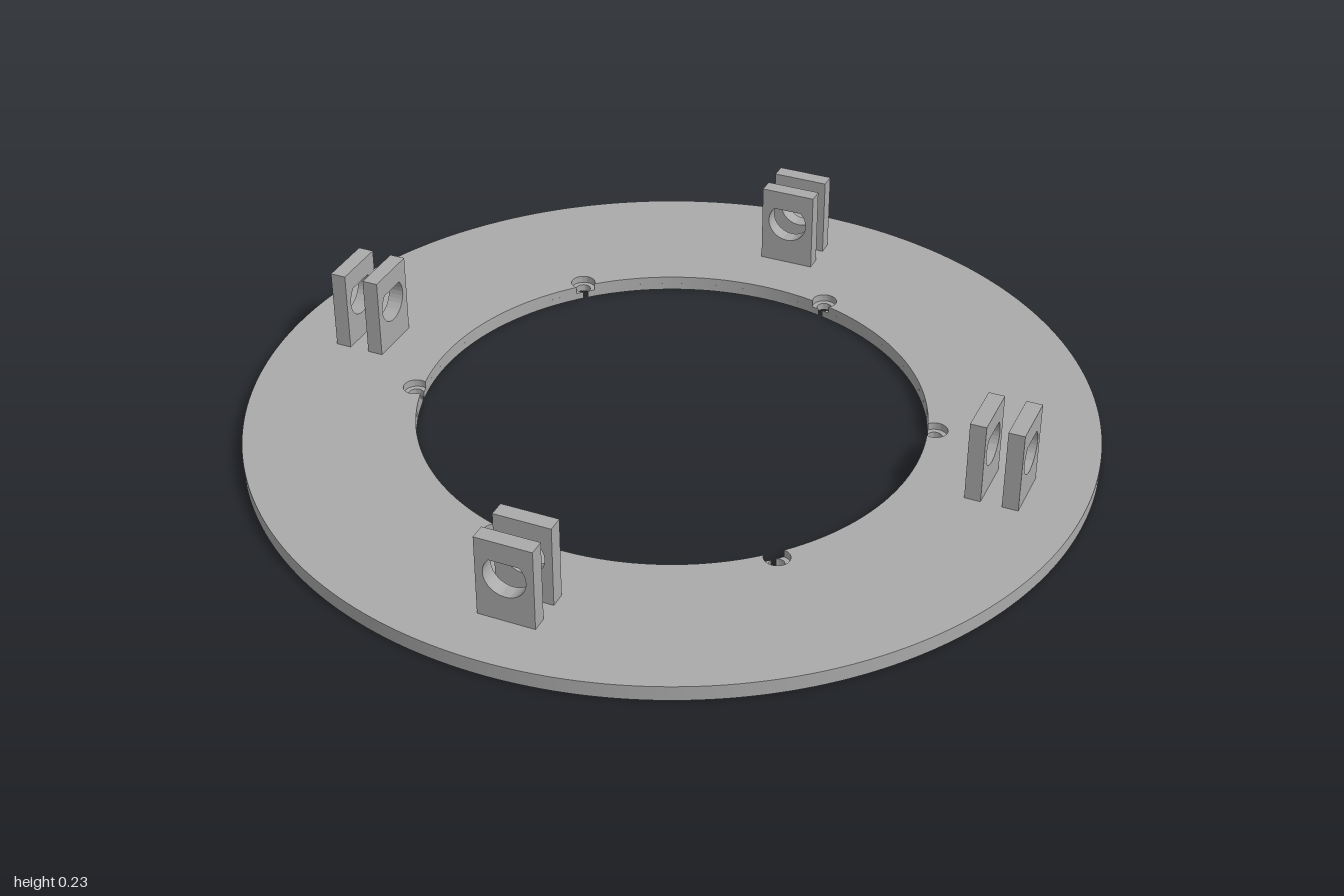
import * as THREE from 'three';
import { toCreasedNormals } from 'three/addons/utils/BufferGeometryUtils.js';

const OUTER = 1, INNER = 0.6, THICK = 0.036;
const HOLE_RADIUS = 0.617; // bolt circle, right at the inner rim

// Inner outline of the ring, with six round holes that break into its edge
function scallopedInner(r) {
  const d = HOLE_RADIUS, pts = [];
  const delta = Math.acos((INNER * INNER + d * d - r * r) / (2 * INNER * d));
  const phi = Math.atan2(INNER * Math.sin(delta), INNER * Math.cos(delta) - d);
  for (let k = 0; k < 6; k++) {
    const a = Math.PI / 6 + k * Math.PI / 3;
    const cx = d * Math.cos(a), cy = d * Math.sin(a);
    for (let i = 0; i <= 24; i++) {
      const t = a - phi + (2 * phi * i) / 24;
      pts.push(new THREE.Vector2(cx + r * Math.cos(t), cy + r * Math.sin(t)));
    }
    const span = Math.PI / 3 - 2 * delta;
    for (let i = 1; i < 24; i++) {
      const t = a + delta + (span * i) / 24;
      pts.push(new THREE.Vector2(INNER * Math.cos(t), INNER * Math.sin(t)));
    }
  }
  return new THREE.Path(pts);
}

// One horizontal layer of the ring
function ringLayer(holeRadius, y, height) {
  const shape = new THREE.Shape().absarc(0, 0, OUTER, 0, Math.PI * 2, false);
  shape.holes.push(scallopedInner(holeRadius));
  const geo = new THREE.ExtrudeGeometry(shape, { depth: height, bevelEnabled: false, curveSegments: 160 });
  geo.rotateX(-Math.PI / 2).translate(0, y, 0);
  return toCreasedNormals(geo, 0.5);
}

// Upright lug plate with a teardrop hole
function lugGeometry() {
  const w = 0.068, top = 0.235, cy = 0.15, r = 0.05, t = 0.038;
  const shape = new THREE.Shape([
    new THREE.Vector2(-w, THICK), new THREE.Vector2(w, THICK),
    new THREE.Vector2(w, top), new THREE.Vector2(-w, top),
  ]);
  const hole = new THREE.Path();
  hole.moveTo(0, cy + r * Math.SQRT2);
  hole.absarc(0, cy, r, Math.PI * 0.75, Math.PI * 2.25, false);
  hole.closePath();
  shape.holes.push(hole);
  const geo = new THREE.ExtrudeGeometry(shape, { depth: t, bevelEnabled: false, curveSegments: 36 });
  geo.translate(0, 0, -t / 2);
  return toCreasedNormals(geo, 0.5);
}

export function createModel() {
  const model = new THREE.Group();
  model.name = 'mountingRing';
  const grey = new THREE.MeshStandardMaterial({ color: 0xaaaaaa });
  grey.name = 'grey';

  const add = (parent, geo, name) => {
    const mesh = new THREE.Mesh(geo, grey);
    mesh.name = name;
    parent.add(mesh);
    return mesh;
  };

  // Ring: narrow screw holes below, wide counterbores above
  add(model, ringLayer(0.018, 0, THICK / 2), 'ringLower');
  add(model, ringLayer(0.03, THICK / 2, THICK / 2), 'ringUpper');

  // Four pairs of lugs on the diagonals, facing the centre
  const lug = lugGeometry();
  for (let k = 0; k < 4; k++) {
    const bracket = new THREE.Group();
    bracket.name = 'bracket' + (k + 1);
    bracket.rotation.y = Math.PI / 4 + k * Math.PI / 2;
    add(bracket, lug, 'innerLug').position.z = 0.758;
    add(bracket, lug, 'outerLug').position.z = 0.845;
    model.add(bracket);
  }
  return model;
}
